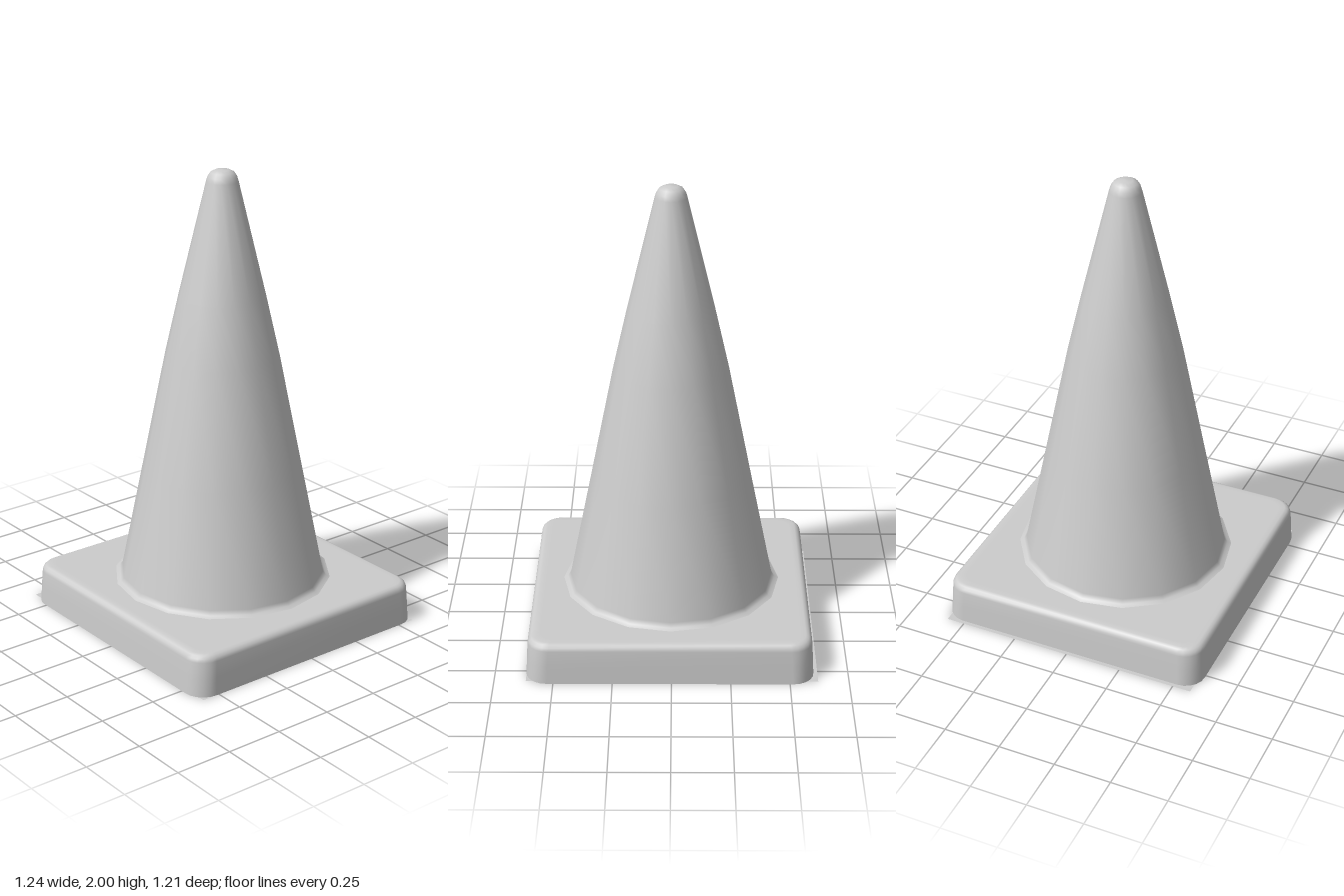
import * as THREE from 'three';

// One loop of a rounded rectangle in the xz plane
function roundedLoop(y, hx, hz, r, steps = 5) {
  const pts = [];
  for (let c = 0; c < 4; c++) {
    const sx = c === 0 || c === 3 ? 1 : -1;
    const sz = c < 2 ? 1 : -1;
    for (let i = 0; i <= steps; i++) {
      const a = (c + i / steps) * Math.PI / 2;
      pts.push([sx * (hx - r) + r * Math.cos(a), y, sz * (hz - r) + r * Math.sin(a)]);
    }
  }
  return pts;
}

// Skin a stack of loops from bottom to top and close the top
function loft(loops) {
  const n = loops[0].length;
  const top = loops[loops.length - 1];
  const positions = [...loops.flat(), [0, top[0][1], 0]].flat();
  const index = [];
  for (let k = 0; k < loops.length - 1; k++) {
    for (let i = 0; i < n; i++) {
      const a = k * n + i, b = k * n + (i + 1) % n;
      index.push(a, a + n, b, b, a + n, b + n);
    }
  }
  const start = (loops.length - 1) * n;
  for (let i = 0; i < n; i++) index.push(loops.length * n, start + (i + 1) % n, start + i);
  const geometry = new THREE.BufferGeometry();
  geometry.setAttribute('position', new THREE.Float32BufferAttribute(positions, 3));
  geometry.setIndex(index);
  geometry.computeVertexNormals();
  return geometry;
}

export function createModel() {
  const group = new THREE.Group();
  const grey = new THREE.MeshStandardMaterial({ color: 0xcccccc, side: THREE.DoubleSide });
  grey.name = 'grey';

  const add = (name, geometry, x = 0) => {
    const mesh = new THREE.Mesh(geometry, grey);
    mesh.name = name;
    mesh.position.x = x;
    group.add(mesh);
  };

  // Square foot, slightly tapered, with a rounded top edge
  const section = [
    [0, 0, 0.09], [0.08, 0.004, 0.09], [0.15, 0.008, 0.09], [0.165, 0.012, 0.088],
    [0.175, 0.022, 0.08], [0.18, 0.035, 0.07], [0.18, 0.06, 0.06],
  ];
  add('base', loft(section.map(([y, inset, r]) => roundedLoop(y, 0.61 - inset, 0.603 - inset, r))), 0.007);

  // Sharp-cornered sheet closing the underside
  add('bottomSheet', new THREE.PlaneGeometry(1.236, 1.16).rotateX(Math.PI / 2), -0.002);

  // Sixteen-sided cone with a flared foot and a rounded tip
  const profile = [
    [0.48, 0.178], [0.458, 0.187], [0.445, 0.205], [0.345, 0.7], [0.245, 1.2],
    [0.186, 1.46], [0.068, 1.95], [0.062, 1.97], [0.05, 1.988], [0.03, 1.998], [0, 2],
  ].map(([x, y]) => new THREE.Vector2(x, y));
  add('cone', new THREE.LatheGeometry(profile, 16), 0.004);

  return group;
}
